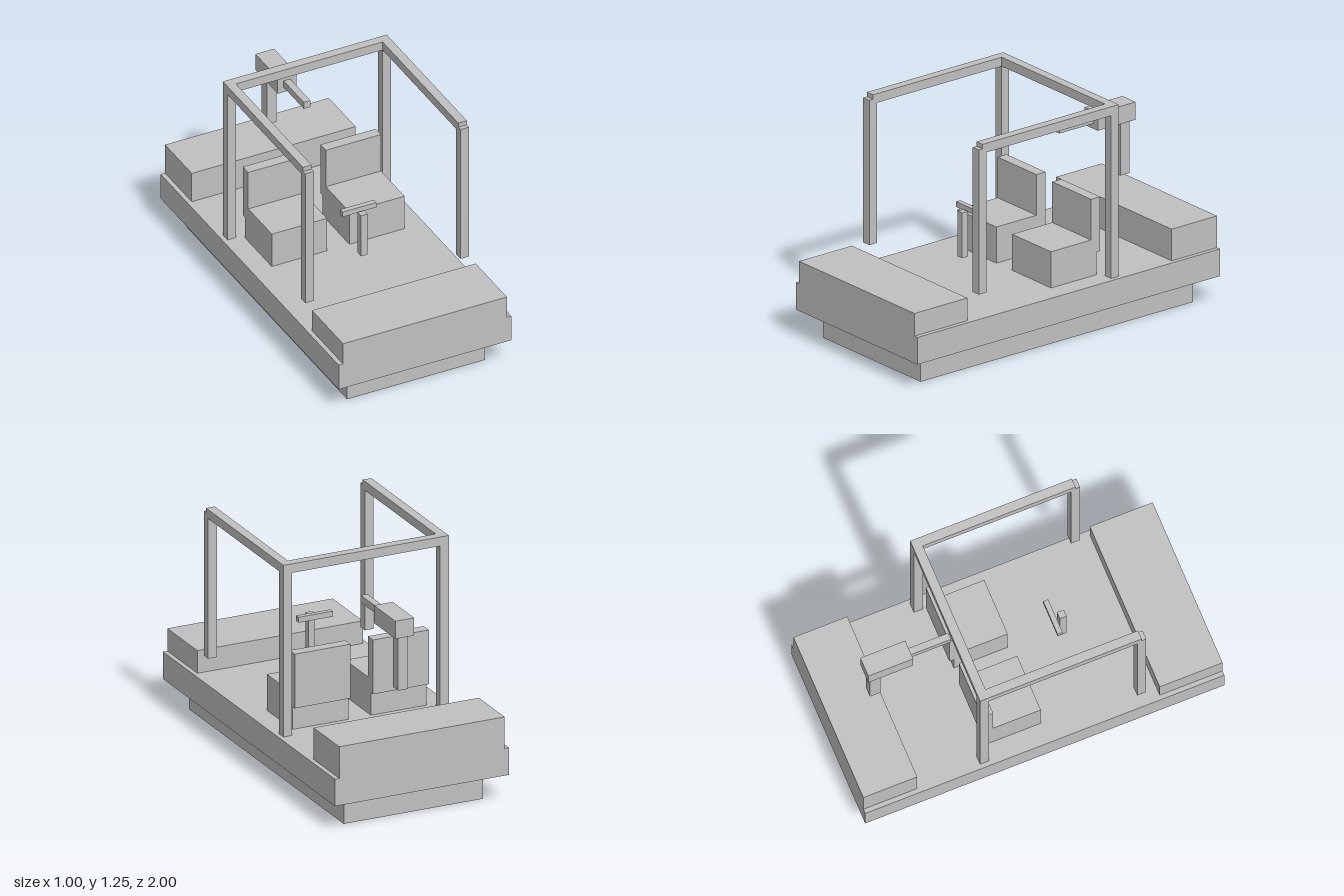
import * as THREE from 'three';

export function createModel() {
  const model = new THREE.Group();
  model.name = 'openVehicle';
  const grey = new THREE.MeshStandardMaterial({ color: 0xc0c0c0 });
  grey.name = 'light grey';

  // Box given by its [min, max] extent on each axis
  const box = (name, [x0, x1], [y0, y1], [z0, z1], parent = model) => {
    const mesh = new THREE.Mesh(new THREE.BoxGeometry(x1 - x0, y1 - y0, z1 - z0), grey);
    mesh.position.set((x0 + x1) / 2, (y0 + y1) / 2, (z0 + z1) / 2);
    mesh.name = name;
    parent.add(mesh);
    return mesh;
  };

  // Hull: undercarriage, deck and end lockers
  box('undercarriage', [-0.4, 0.4], [0, 0.15], [-0.9, 0.9]);
  box('deck', [-0.5, 0.5], [0.15, 0.3], [-1, 1]);
  box('frontLocker', [-0.475, 0.475], [0.3, 0.425], [0.65, 1]);
  box('rearLocker', [-0.475, 0.475], [0.3, 0.475], [-1, -0.7]);

  // Seats and frame sides, mirrored left and right
  for (const [side, s] of [['left', 1], ['right', -1]]) {
    const span = (a, b) => (s > 0 ? [a, b] : [-b, -a]);

    const seat = new THREE.Group();
    seat.name = side + 'Seat';
    box('seatBase', span(0.065, 0.385), [0.3, 0.5], [-0.275, 0.025], seat);
    box('seatBack', span(0.065, 0.385), [0.425, 0.725], [-0.3, -0.24], seat);

    const frame = new THREE.Group();
    frame.name = side + 'Frame';
    box('frontPost', span(0.425, 0.475), [0.425, 1.225], [0.525, 0.575], frame);
    box('rearPost', span(0.425, 0.475), [0.3, 1.2], [-0.35, -0.3], frame);
    box('topRail', span(0.425, 0.475), [1.2, 1.25], [-0.35, 0.55], frame);
    model.add(seat, frame);
  }
  box('rearCrossbar', [-0.425, 0.425], [1.2, 1.25], [-0.35, -0.3]);

  // Steering
  box('steeringColumn', [-0.019, 0.019], [0.425, 0.675], [0.281, 0.319]);
  box('steeringBar', [-0.098, 0.098], [0.66, 0.69], [0.236, 0.264]);

  // Raised rear unit: post, body and forward arm
  const unit = new THREE.Group();
  unit.name = 'rearUnit';
  box('unitPost', [-0.028, 0.028], [0.63, 0.928], [-0.78, -0.72], unit);
  box('unitBody', [-0.054, 0.054], [0.928, 1.026], [-0.8, -0.55], unit);
  box('unitArm', [-0.019, 0.019], [0.957, 0.997], [-0.55, -0.325], unit);
  model.add(unit);

  return model;
}
